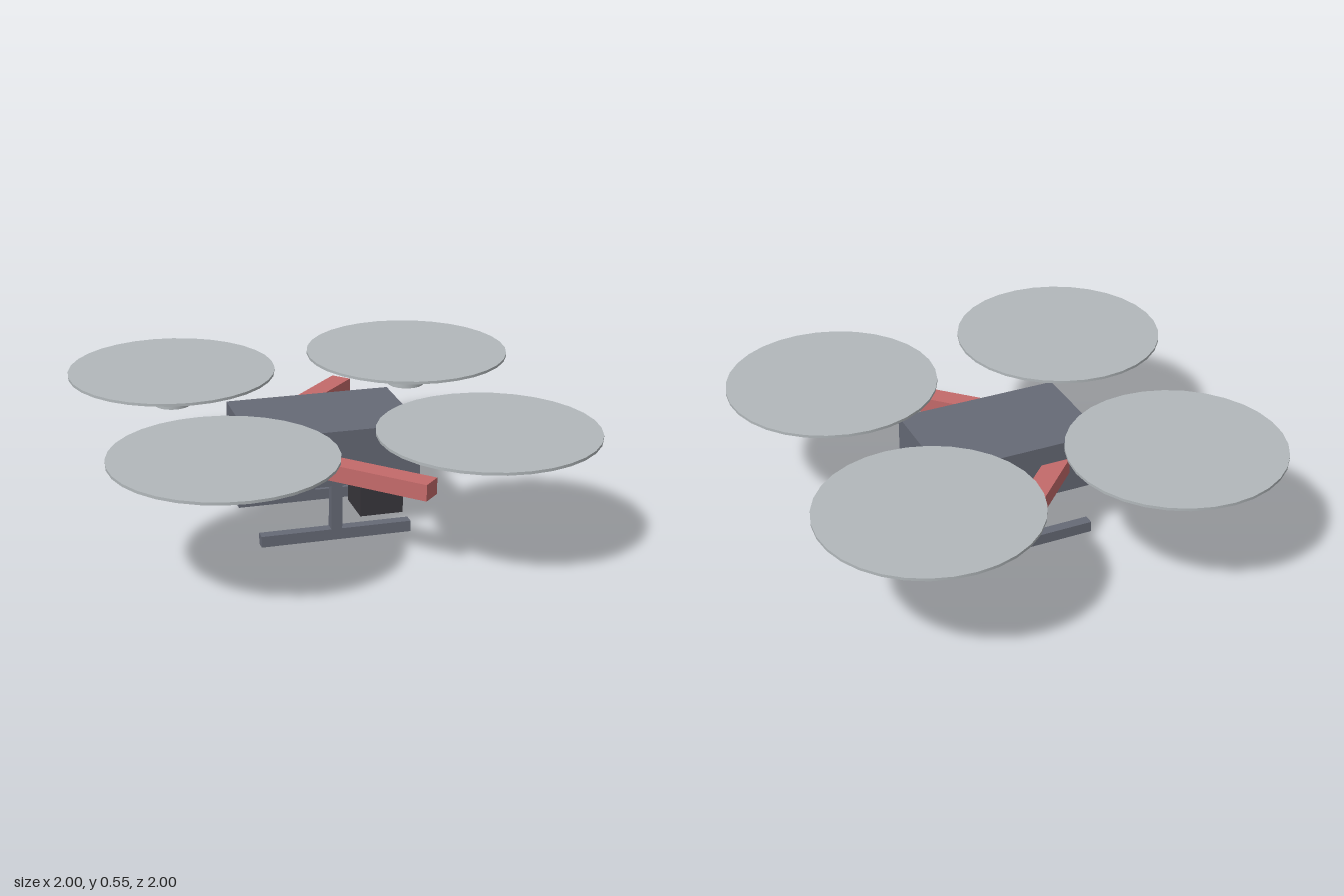
import * as THREE from 'three';

export function createModel() {
  const model = new THREE.Group();
  model.name = 'quadcopter';

  const material = (name, color) => {
    const m = new THREE.MeshStandardMaterial({ color });
    m.name = name;
    return m;
  };
  const slate = material('slate grey', 0x666a76);
  const red = material('soft red', 0xc46a6a);
  const silver = material('silver grey', 0xb2b8bb);
  const black = material('charcoal', 0x38363b);

  const add = (name, geometry, mat, x, y, z) => {
    const mesh = new THREE.Mesh(geometry, mat);
    mesh.name = name;
    mesh.position.set(x, y, z);
    model.add(mesh);
    return mesh;
  };
  const box = (name, mat, size, x, y, z) => add(name, new THREE.BoxGeometry(...size), mat, x, y, z);

  // Central body and the camera slung beneath it
  box('body', slate, [0.72, 0.24, 0.48], -0.003, 0.362, 0);
  box('camera', black, [0.19, 0.19, 0.19], 0.237, 0.122, 0);

  for (const side of [1, -1]) {
    const end = side > 0 ? 'front' : 'back';

    // Diagonal arm, running from inside the body out to the side
    const arm = box(end + 'Arm', red, [0.757, 0.07, 0.092], 0, 0.364, 0.39 * side);
    arm.rotation.y = -side * Math.PI / 4;

    // Landing skid and its post
    box(end + 'Skid', slate, [0.647, 0.048, 0.046], -0.003, 0.024, 0.217 * side);
    box(end + 'Post', slate, [0.046, 0.2, 0.046], -0.003, 0.145, 0.217 * side);

    // Motors and rotor discs
    for (const x of [0.543, -0.543]) {
      const label = end + (x > 0 ? 'Left' : 'Right');
      add(label + 'Motor', new THREE.CylinderGeometry(0.083, 0.083, 0.147, 24), silver, x, 0.4585, 0.543 * side);
      add(label + 'Rotor', new THREE.CylinderGeometry(0.455, 0.455, 0.012, 32), silver, x, 0.539, 0.543 * side);
    }
  }
  return model;
}
